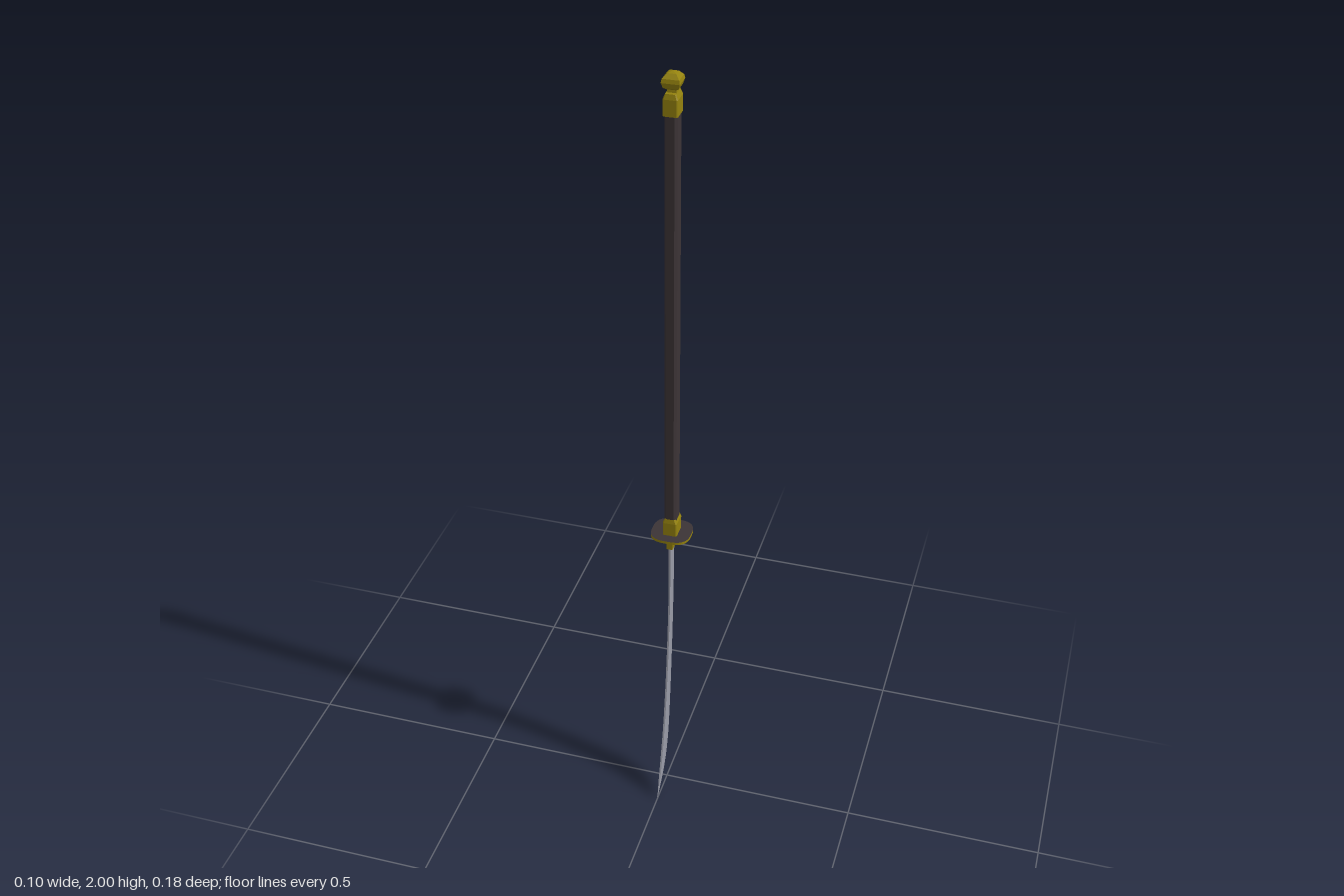
import * as THREE from 'three';

const gold = new THREE.MeshStandardMaterial({ name: 'antique gold', color: 0x94820e });
const dark = new THREE.MeshStandardMaterial({ name: 'dark brown', color: 0x3c3436 });
const steel = new THREE.MeshStandardMaterial({ name: 'steel', color: 0x999ba7 });

const AXIS_Z = -0.044; // centre line of the grip

function facet(geometry) {
  const g = geometry.index ? geometry.toNonIndexed() : geometry;
  g.computeVertexNormals();
  return g;
}

function addMesh(group, name, geometry, material) {
  const mesh = new THREE.Mesh(geometry, material);
  mesh.name = name;
  group.add(mesh);
  return mesh;
}

// Eight-sided column through levels [y, halfX, halfZ], with corners cut by a fraction c
function column(levels, c) {
  const k = 1 - c;
  const ring = [[1, k], [1, -k], [k, -1], [-k, -1], [-1, -k], [-1, k], [-k, 1], [k, 1]];
  const rings = levels.map(([y, hx, hz]) => ring.map(([x, z]) => [x * hx, y, z * hz]));
  return loft(rings);
}

// Joins rings (counter-clockwise from above, listed upwards) and closes both ends
function loft(rings) {
  const pos = [];
  const n = rings[0].length;
  for (let r = 0; r < rings.length - 1; r++) {
    const a = rings[r], b = rings[r + 1];
    for (let i = 0; i < n; i++) {
      const j = (i + 1) % n;
      pos.push(...a[i], ...a[j], ...b[j], ...a[i], ...b[j], ...b[i]);
    }
  }
  const low = rings[0], top = rings[rings.length - 1];
  for (let i = 1; i < n - 1; i++) {
    pos.push(...low[0], ...low[i + 1], ...low[i], ...top[0], ...top[i], ...top[i + 1]);
  }
  const g = new THREE.BufferGeometry();
  g.setAttribute('position', new THREE.Float32BufferAttribute(pos, 3));
  g.computeVertexNormals();
  return g;
}

// Curved single-edged blade; points are (z, y) from the tip upwards
function bladeGeometry() {
  const curve = pts => new THREE.SplineCurve(pts.map(p => new THREE.Vector2(...p)));
  const back = curve([[0.092, 0], [0.073, 0.05], [0.054, 0.11], [0.024, 0.23],
    [-0.004, 0.415], [-0.02, 0.6], [-0.022, 0.78]]);
  const edge = curve([[0.092, 0], [0.035, 0.05], [0, 0.11], [-0.021, 0.2],
    [-0.044, 0.4], [-0.059, 0.6], [-0.066, 0.78]]);
  const rings = [];
  const steps = 24;
  for (let s = 0; s <= steps; s++) {
    const t = s / steps;
    const b = back.getPoint(t), e = edge.getPoint(t);
    const m = b.clone().lerp(e, 0.4);
    const w = 0.0032 * Math.min(1, t * 5);
    rings.push([[w * 0.7, b.y, b.x], [w, m.y, m.x], [0, e.y, e.x],
      [-w, m.y, m.x], [-w * 0.7, b.y, b.x]]);
  }
  return loft(rings);
}

// Rounded-square guard plate
function guardGeometry() {
  const pts = [];
  for (let i = 0; i < 40; i++) {
    const a = (i / 40) * Math.PI * 2;
    const f = v => Math.sign(v) * Math.pow(Math.abs(v), 0.7);
    pts.push(new THREE.Vector2(0.05 * f(Math.cos(a)), 0.048 * f(Math.sin(a))));
  }
  const g = new THREE.ExtrudeGeometry(new THREE.Shape(pts), { depth: 0.007, bevelEnabled: false });
  g.rotateX(-Math.PI / 2);
  g.translate(0, 0.793, 0);
  return g;
}

// Four-sided knob on a narrow neck; points are (half width, y)
function finialGeometry() {
  const profile = [[0.012, 1.945], [0.010, 1.961], [0.017, 1.966], [0.021, 1.978],
    [0.019, 1.987], [0.010, 1.997], [0, 2]];
  const pts = profile.map(([h, y]) => new THREE.Vector2(h * Math.SQRT2, y));
  return facet(new THREE.LatheGeometry(pts, 4, Math.PI / 4));
}

export function createModel() {
  const model = new THREE.Group();
  model.name = 'sword';

  addMesh(model, 'blade', bladeGeometry(), steel);

  // Everything centred on the grip axis
  const hilt = new THREE.Group();
  hilt.name = 'hilt';
  hilt.position.z = AXIS_Z;
  model.add(hilt);

  addMesh(hilt, 'bladeCollar', column([[0.757, 0.008, 0.023], [0.794, 0.009, 0.023]], 0.1), gold);
  addMesh(hilt, 'guard', guardGeometry(), [dark, gold]);
  addMesh(hilt, 'gripCollar',
    column([[0.8, 0.018, 0.023], [0.836, 0.018, 0.023], [0.848, 0.013, 0.021]], 0.15), gold);
  addMesh(hilt, 'grip', column([[0.83, 0.015, 0.021], [1.92, 0.015, 0.021]], 0.35), dark);
  addMesh(hilt, 'gripCap',
    column([[1.905, 0.017, 0.023], [1.943, 0.017, 0.023], [1.955, 0.012, 0.02]], 0.15), gold);
  addMesh(hilt, 'finial', finialGeometry(), gold);

  return model;
}
